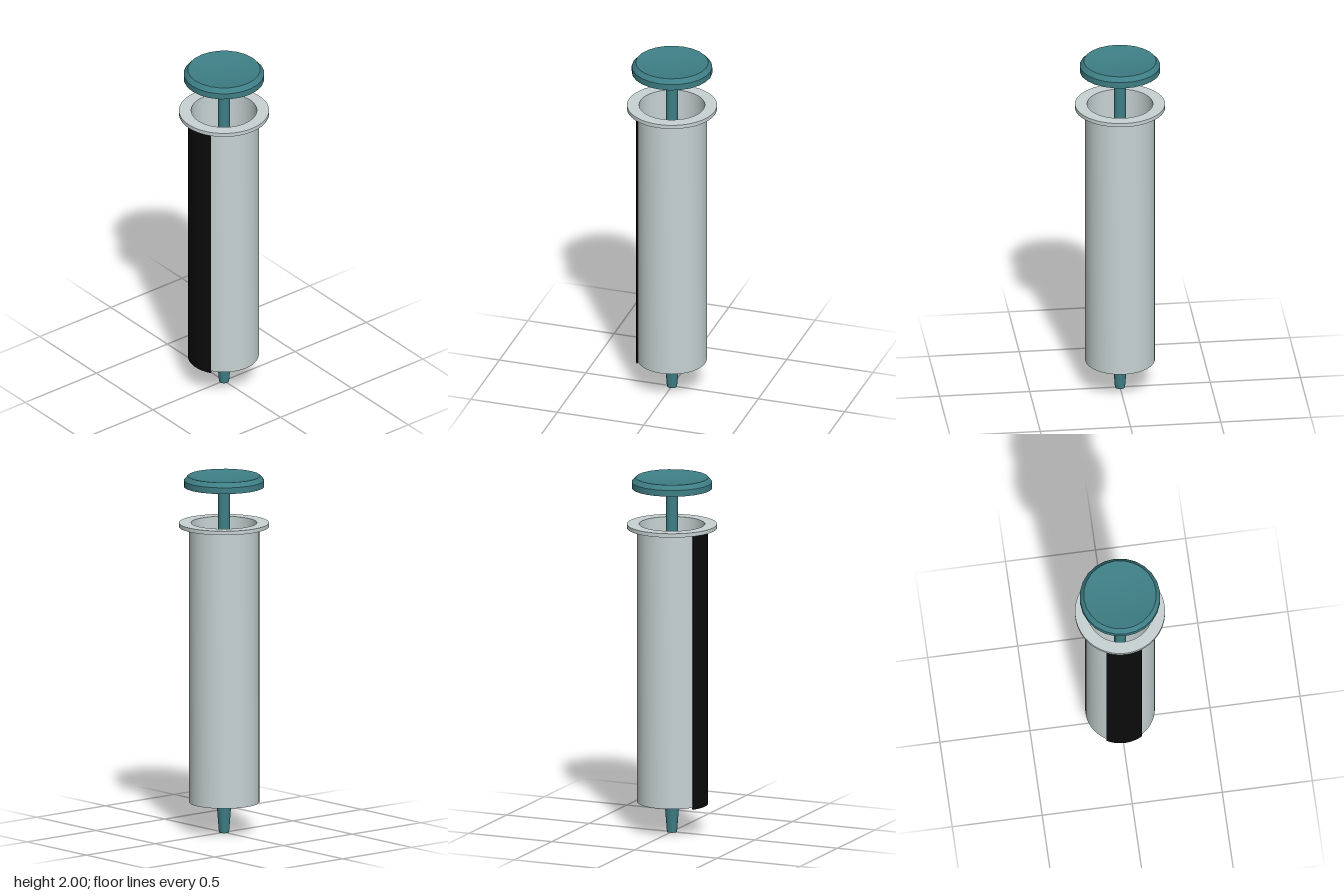
import * as THREE from 'three';
import { toCreasedNormals } from 'three/addons/utils/BufferGeometryUtils.js';

const material = (name, color) => {
  const m = new THREE.MeshStandardMaterial({ color });
  m.name = name;
  return m;
};

// Turned part: the profile runs from the bottom, outside first, as [radius, height]
function turned(name, profile, sides, mat) {
  const points = profile.map(([r, y]) => new THREE.Vector2(r, y));
  const geometry = toCreasedNormals(new THREE.LatheGeometry(points, sides), 0.55);
  const mesh = new THREE.Mesh(geometry, mat);
  mesh.name = name;
  return mesh;
}

export function createModel() {
  const grey = material('pale grey plastic', 0xc8d3d3);
  const teal = material('teal plastic', 0x3e7f86);
  const black = material('black label', 0x0b0b0b);

  const model = new THREE.Group();
  model.name = 'syringe';

  // Hollow barrel with a finger flange at its open end
  model.add(turned('barrel', [
    [0, 0.17], [0.192, 0.17], [0.192, 1.715], [0.248, 1.715], [0.248, 1.737],
    [0.181, 1.737], [0.181, 0.19], [0, 0.19],
  ], 64, grey));

  // Curved label wrapped round the front of the barrel
  const arc = new THREE.Shape();
  arc.absarc(0, 0, 0.199, -Math.PI * 2 / 3, -Math.PI / 3, false);
  arc.absarc(0, 0, 0.19, -Math.PI / 3, -Math.PI * 2 / 3, true);
  const labelGeometry = new THREE.ExtrudeGeometry(arc, {
    depth: 1.555, bevelEnabled: false, curveSegments: 16,
  });
  labelGeometry.rotateX(-Math.PI / 2).translate(0, 0.16, 0);
  const label = new THREE.Mesh(toCreasedNormals(labelGeometry, 0.55), black);
  label.name = 'label';
  model.add(label);

  // Tapered nozzle with a bore in its tip
  model.add(turned('nozzle', [
    [0, 0.1], [0.015, 0.1], [0.015, 0], [0.028, 0], [0.04, 0.155], [0.042, 0.175],
  ], 24, teal));

  // Plunger: thumb rest with a shallow dish, rod, and piston inside the barrel
  const plunger = new THREE.Group();
  plunger.name = 'plunger';
  plunger.add(turned('thumbRest', [
    [0, 1.94], [0.222, 1.94], [0.222, 1.975], [0.2, 2],
    [0.15, 1.992], [0.1, 1.986], [0.05, 1.982], [0, 1.981],
  ], 24, teal));
  plunger.add(turned('rod', [[0.034, 0.25], [0.034, 1.945]], 12, teal));
  plunger.add(turned('piston', [
    [0, 0.2], [0.178, 0.22], [0.178, 0.3], [0, 0.3],
  ], 32, teal));
  model.add(plunger);

  return model;
}
